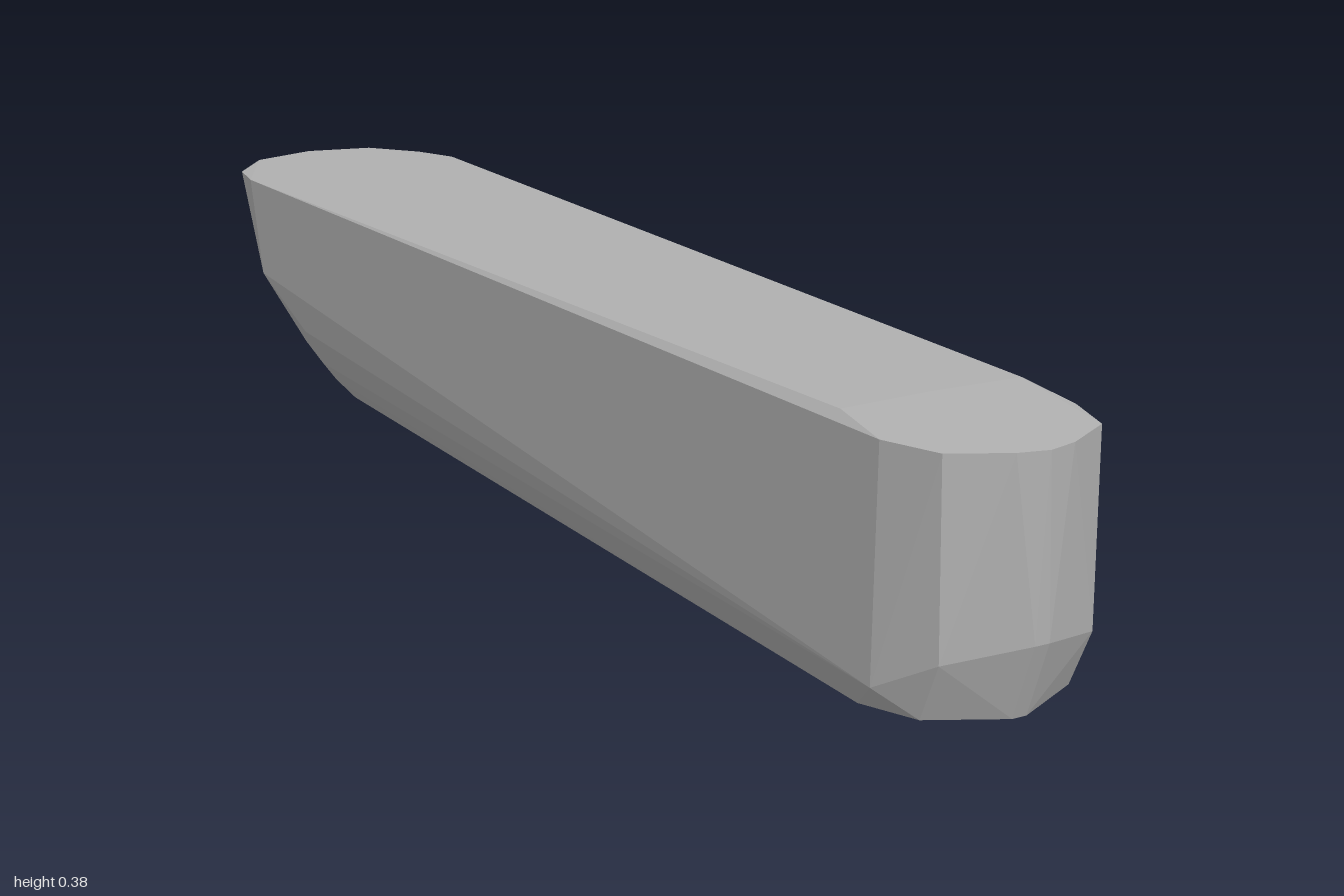
import * as THREE from 'three';
import { ConvexGeometry } from 'three/addons/geometries/ConvexGeometry.js';

export function createModel() {
  const group = new THREE.Group();
  const grey = new THREE.MeshStandardMaterial({ color: 0xb0b0b0 });
  grey.name = 'grey';

  // Half outlines [x, y, z], mirrored across x = 0
  const roundedBack = [
    [0, 0.33, -1], [0.1, 0.33, -0.975], [0.16, 0.33, -0.905], [0.18, 0.335, -0.82],
    [0, 0.24, -0.975], [0.09, 0.24, -0.95], [0.15, 0.24, -0.885], [0.18, 0.19, -0.78],
    [0, 0.17, -0.92], [0.09, 0.17, -0.89], [0.14, 0.16, -0.83], [0.17, 0.125, -0.64],
    [0, 0.085, -0.84], [0.08, 0.085, -0.81], [0.135, 0.085, -0.72], [0.142, 0.07, -0.64],
    [0, 0.03, -0.75], [0.07, 0.03, -0.72], [0.12, 0.04, -0.64],
    [0, 0, -0.64], [0.092, 0.008, -0.63],
  ];
  const bluntFront = [
    [0, 0.368, 1], [0.04, 0.368, 0.99], [0.11, 0.367, 0.95], [0.137, 0.365, 0.87],
    [0.128, 0.375, 0.78], [0, 0.377, 0.78],
    [0.01, 0.14, 1], [0.108, 0.12, 0.955], [0.14, 0.07, 0.87],
    [0.01, 0.04, 0.965], [0.106, 0.042, 0.92], [0.093, 0.008, 0.78], [0, 0, 0.78],
  ];

  const points = [];
  for (const [x, y, z] of [...roundedBack, ...bluntFront]) {
    points.push(new THREE.Vector3(x, y, z));
    if (x > 0) points.push(new THREE.Vector3(-x, y, z));
  }

  // Faceted, tapering solid hull
  const hull = new THREE.Mesh(new ConvexGeometry(points), grey);
  hull.name = 'hull';
  group.add(hull);
  return group;
}
